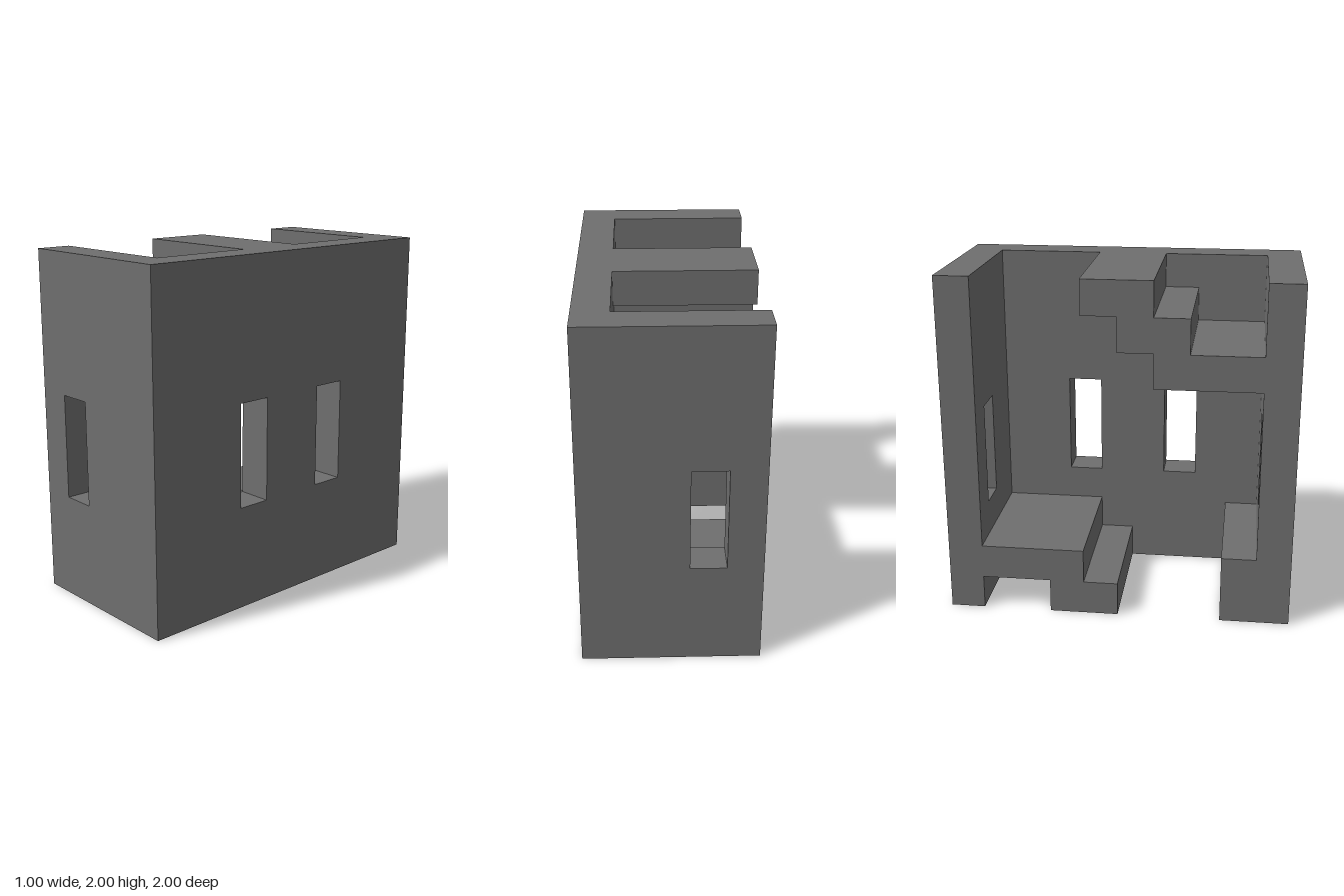
import * as THREE from 'three';

const WALL = 0.2;

// Rectangle outline as corner points
const rect = (u0, v0, u1, v1) => [[u0, v0], [u1, v0], [u1, v1], [u0, v1]];

const toPoints = (list) => list.map(([u, v]) => new THREE.Vector2(u, v));

function extrude(outline, depth, holes = []) {
  const shape = new THREE.Shape(toPoints(outline));
  for (const hole of holes) shape.holes.push(new THREE.Path(toPoints(hole)));
  return new THREE.ExtrudeGeometry(shape, { depth, bevelEnabled: false });
}

// Profile given in (z, y), filling x from xMin to xMax
function extrudeAcross(outline, xMin, xMax, holes) {
  return extrude(outline, xMax - xMin, holes).rotateY(-Math.PI / 2).translate(xMax, 0, 0);
}

export function createModel() {
  const group = new THREE.Group();
  const stone = new THREE.MeshStandardMaterial({ color: 0x6e6e6e });
  stone.name = 'grey stone';

  const add = (name, geometry) => {
    const mesh = new THREE.Mesh(geometry, stone);
    mesh.name = name;
    group.add(mesh);
  };

  // Long wall with two window slots
  add('sideWall', extrudeAcross(rect(-1, 0, 1, 2), 0.3, 0.5, [
    rect(-0.4, 0.6, -0.2, 1.2),
    rect(0.2, 0.6, 0.4, 1.2),
  ]));

  // End walls, each with one window slot
  for (const [name, z] of [['frontWall', 1 - WALL], ['backWall', -1]]) {
    const window = rect(-0.3, 0.6, -0.1, 1.2);
    add(name, extrude(rect(-0.5, 0, 0.3, 2), WALL, [window]).translate(0, 0, z));
  }

  // Upper flight: top landing stepping down to the front wall
  add('upperStairs', extrudeAcross([
    [-0.2, 1.8], [0, 1.8], [0, 1.6], [0.2, 1.6], [0.2, 1.4], [0.8, 1.4],
    [0.8, 1.6], [0.4, 1.6], [0.4, 1.8], [0.2, 1.8], [0.2, 2], [-0.2, 2],
  ], -0.5, 0.3));

  // Lower flight: landing at the back wall stepping down to the ground
  add('lowerStairs', extrudeAcross([
    [-0.8, 0.2], [-0.4, 0.2], [-0.4, 0], [0, 0],
    [0, 0.2], [-0.2, 0.2], [-0.2, 0.4], [-0.8, 0.4],
  ], -0.5, 0.3));

  // Raised block at the foot of the front wall
  add('floorBlock', extrudeAcross(rect(0.6, 0, 0.8, 0.4), -0.5, 0.3));

  return group;
}
